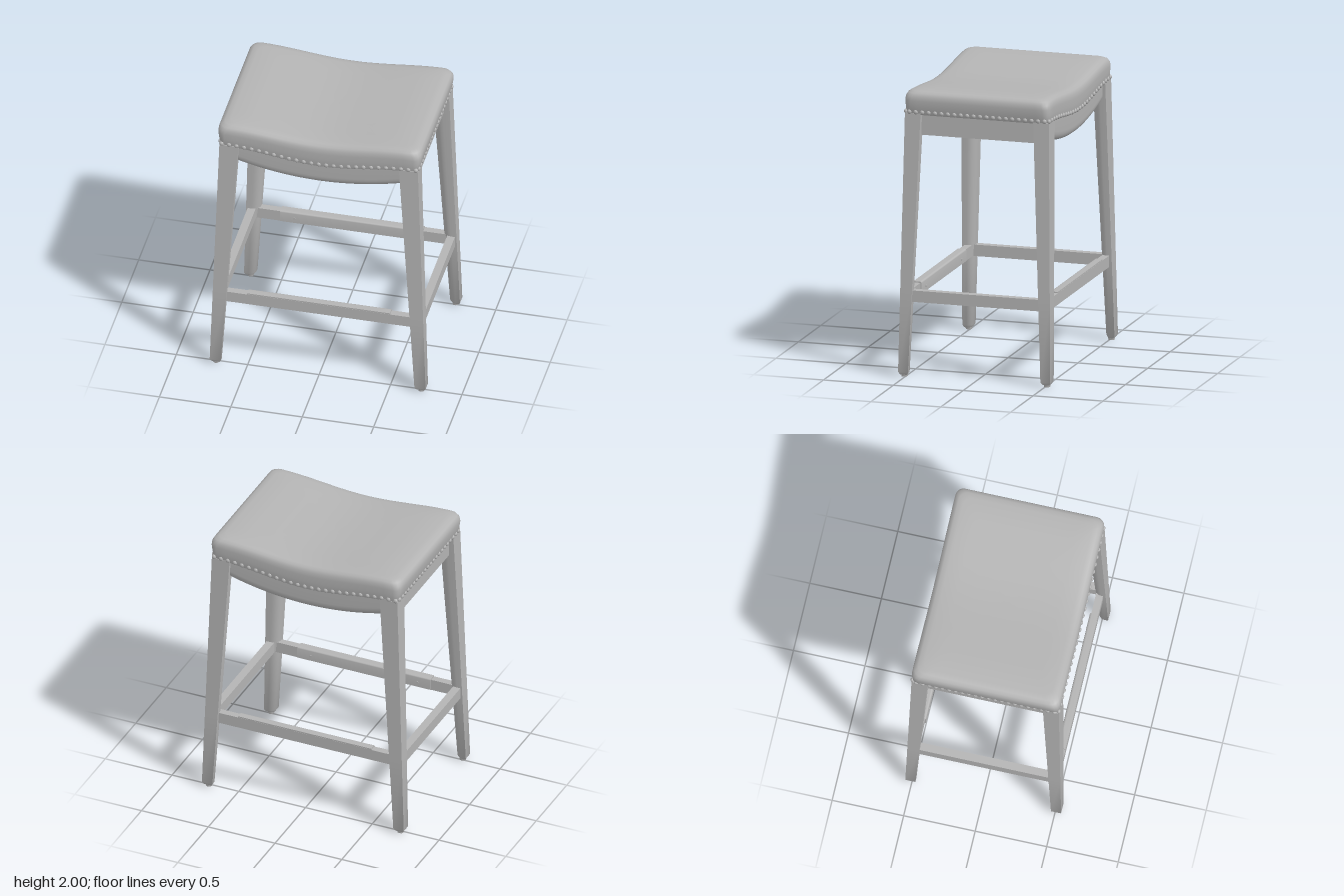
import * as THREE from 'three';
import { toCreasedNormals } from 'three/addons/utils/BufferGeometryUtils.js';

// Skin a list of rings (arrays of [x, y, z]) and cap both ends
function loft(rings, crease = 0.6) {
  const n = rings[0].length, pos = rings.flat(2), idx = [];
  for (let i = 0; i < rings.length - 1; i++) {
    for (let j = 0; j < n; j++) {
      const a = i * n + j, b = i * n + (j + 1) % n;
      idx.push(a, b, b + n, a, b + n, a + n);
    }
  }
  [[0, true], [rings.length - 1, false]].forEach(([r, flip]) => {
    const c = [0, 1, 2].map(k => rings[r].reduce((s, p) => s + p[k], 0) / n);
    const ci = pos.length / 3;
    pos.push(...c);
    for (let j = 0; j < n; j++) {
      const a = r * n + j, b = r * n + (j + 1) % n;
      idx.push(ci, ...(flip ? [b, a] : [a, b]));
    }
  });
  const g = new THREE.BufferGeometry();
  g.setAttribute('position', new THREE.Float32BufferAttribute(pos, 3));
  g.setIndex(idx);
  return toCreasedNormals(g, crease);
}

// Rounded rectangle in plan, with points along its edges
function roundRect(hx, hz, r, edge = 20, arc = 4) {
  const corners = [[1, -1], [-1, -1], [-1, 1], [1, 1]].map(([sx, sz], q) => {
    const pts = [];
    for (let k = 0; k <= arc; k++) {
      const t = (q + k / arc) * Math.PI / 2;
      pts.push([sx * (hx - r) + r * Math.cos(t), sz * (hz - r) - r * Math.sin(t)]);
    }
    return pts;
  });
  const out = [];
  corners.forEach((c, q) => {
    out.push(...c);
    const a = c[arc], b = corners[(q + 1) % 4][0];
    for (let k = 1; k < edge; k++) {
      const t = k / edge;
      out.push([a[0] + (b[0] - a[0]) * t, a[1] + (b[1] - a[1]) * t]);
    }
  });
  return out;
}

// Saddle dip: 1 in the middle, 0 at the ends
const dip = x => 0.5 + 0.5 * Math.cos(Math.PI * Math.min(1, Math.abs(x) / 0.66));

export function createModel() {
  const group = new THREE.Group();
  const grey = new THREE.MeshStandardMaterial({ color: 0xb4b4b4 });
  grey.name = 'grey';
  const add = (name, geometry, x = 0, y = 0, z = 0, parent = group) => {
    const m = new THREE.Mesh(geometry, grey);
    m.name = name;
    m.position.set(x, y, z);
    parent.add(m);
    return m;
  };

  // Cushion: half width, half depth, height at the ends, dip, corner radius
  const levels = [
    [0.03, 0.02, 1.835, 0.06, 0.005], [0.35, 0.25, 1.835, 0.06, 0.03],
    [0.67, 0.485, 1.835, 0.06, 0.03], [0.69, 0.508, 1.83, 0.06, 0.04],
    [0.698, 0.515, 1.85, 0.06, 0.04], [0.706, 0.517, 1.89, 0.055, 0.045],
    [0.712, 0.52, 1.93, 0.05, 0.05], [0.71, 0.517, 1.96, 0.047, 0.055],
    [0.698, 0.506, 1.982, 0.046, 0.06], [0.675, 0.485, 1.993, 0.045, 0.06],
    [0.64, 0.45, 1.998, 0.045, 0.06], [0.5, 0.35, 2, 0.045, 0.05],
    [0.33, 0.23, 2, 0.045, 0.03], [0.17, 0.12, 2, 0.045, 0.02], [0.03, 0.02, 2, 0.045, 0.005],
  ];
  add('cushion', loft(levels.map(([hx, hz, y, d, r]) =>
    roundRect(hx, hz, r).map(([x, z]) => [x, y - d * dip(x), z])), 1));

  // Nail heads around the lower edge of the cushion
  const nails = new THREE.Group();
  nails.name = 'nailHeads';
  group.add(nails);
  const nail = new THREE.SphereGeometry(0.0165, 10, 8);
  for (const s of [-1, 1]) {
    for (let i = 0; i < 27; i++) {
      const x = -0.68 + i * 1.36 / 26;
      add('nailHead', nail, x, 1.849 - 0.06 * dip(x), s * 0.512, nails).scale.z = 0.8;
    }
    for (let i = 0; i < 22; i++) {
      add('nailHead', nail, s * 0.695, 1.85, -0.483 + i * 0.046, nails).scale.x = 0.8;
    }
  }

  // Front and back aprons: bowed boards with a rounded lower edge
  const apronRings = [];
  for (let i = 0; i <= 24; i++) {
    const x = -0.6 + i * 0.05;
    const bottom = 1.615 + 0.075 * (x / 0.56) ** 2;
    const top = 1.85 - 0.06 * dip(x);
    const ring = [[x, top, 0.415], [x, top, 0.495]];
    for (let k = 0; k <= 10; k++) {
      const t = k / 10 * Math.PI;
      ring.push([x, bottom + 0.06 - 0.06 * Math.sin(t), 0.455 + 0.04 * Math.cos(t)]);
    }
    apronRings.push(ring);
  }
  const apron = loft(apronRings);
  add('frontApron', apron);
  add('backApron', apron).rotation.y = Math.PI;

  // Splayed legs, square outside and rounded on the inner corner
  const legRing = (y, inset) => {
    const t = y / 1.84;
    const x0 = 0.68 - 0.118 * t + inset, x1 = 0.757 - 0.062 * t - inset;
    const z0 = 0.475 - 0.072 * t + inset, z1 = 0.545 - 0.03 * t - inset;
    const rx = (x1 - x0) * 0.6, rz = (z1 - z0) * 0.6;
    const ring = [[x1, y, z1], [x1, y, z0]];
    for (let k = 0; k <= 6; k++) {
      const a = k / 6 * Math.PI / 2;
      ring.push([x0 + rx - rx * Math.sin(a), y, z0 + rz - rz * Math.cos(a)]);
    }
    ring.push([x0, y, z1]);
    return ring;
  };
  const legRings = [[0.015, 0.012], [0.035, 0], [0.6, 0], [1.2, 0], [1.84, 0]].map(a => legRing(...a));
  const glide = new THREE.CylinderGeometry(0.026, 0.022, 0.02, 8);
  for (const sx of [-1, 1]) {
    for (const sz of [-1, 1]) {
      const rings = legRings.map(r => {
        const m = r.map(([x, y, z]) => [sx * x, y, sz * z]);
        return sx * sz < 0 ? m.reverse() : m;
      });
      const side = (sz > 0 ? 'front' : 'back') + (sx > 0 ? 'Left' : 'Right');
      add(side + 'Leg', loft(rings));
      add(side + 'Glide', glide, sx * 0.718, 0.01, sz * 0.51);
    }
  }

  // Side aprons and side stretchers
  for (const s of [-1, 1]) {
    const side = s > 0 ? 'left' : 'right';
    add(side + 'Apron', new THREE.BoxGeometry(0.07, 0.155, 0.88), s * 0.625, 1.7625, 0);
    add(side + 'Stretcher', new THREE.BoxGeometry(0.055, 0.08, 0.94), s * 0.698, 0.565, 0);
  }

  // Front and back stretchers with a kick plate over the top and inner face
  const plateShape = new THREE.Shape();
  plateShape.moveTo(0.024, 0.04);
  plateShape.lineTo(0.024, 0.049);
  plateShape.lineTo(-0.018, 0.049);
  plateShape.quadraticCurveTo(-0.034, 0.049, -0.034, 0.033);
  plateShape.lineTo(-0.034, -0.036);
  plateShape.lineTo(-0.025, -0.036);
  plateShape.lineTo(-0.025, 0.04);
  const plate = toCreasedNormals(new THREE.ExtrudeGeometry(plateShape,
    { depth: 1, bevelEnabled: false, curveSegments: 6 }), 0.5);
  plate.rotateY(-Math.PI / 2).translate(0.5, 0, 0);
  plate.rotateY(0);
  const screw = new THREE.CylinderGeometry(0.009, 0.009, 0.006, 12).rotateX(Math.PI / 2);
  for (const s of [-1, 1]) {
    const rail = new THREE.Group();
    rail.name = s > 0 ? 'frontRail' : 'backRail';
    rail.position.set(0, 0.565, s * 0.492);
    rail.rotation.y = s > 0 ? 0 : Math.PI;
    group.add(rail);
    add('stretcher', new THREE.BoxGeometry(1.36, 0.08, 0.05), 0, 0, 0, rail);
    add('kickPlate', plate, 0, 0, 0, rail);
    for (const x of [-0.4, 0.4]) add('screw', screw, x, 0, -0.035, rail);
  }
  return group;
}
